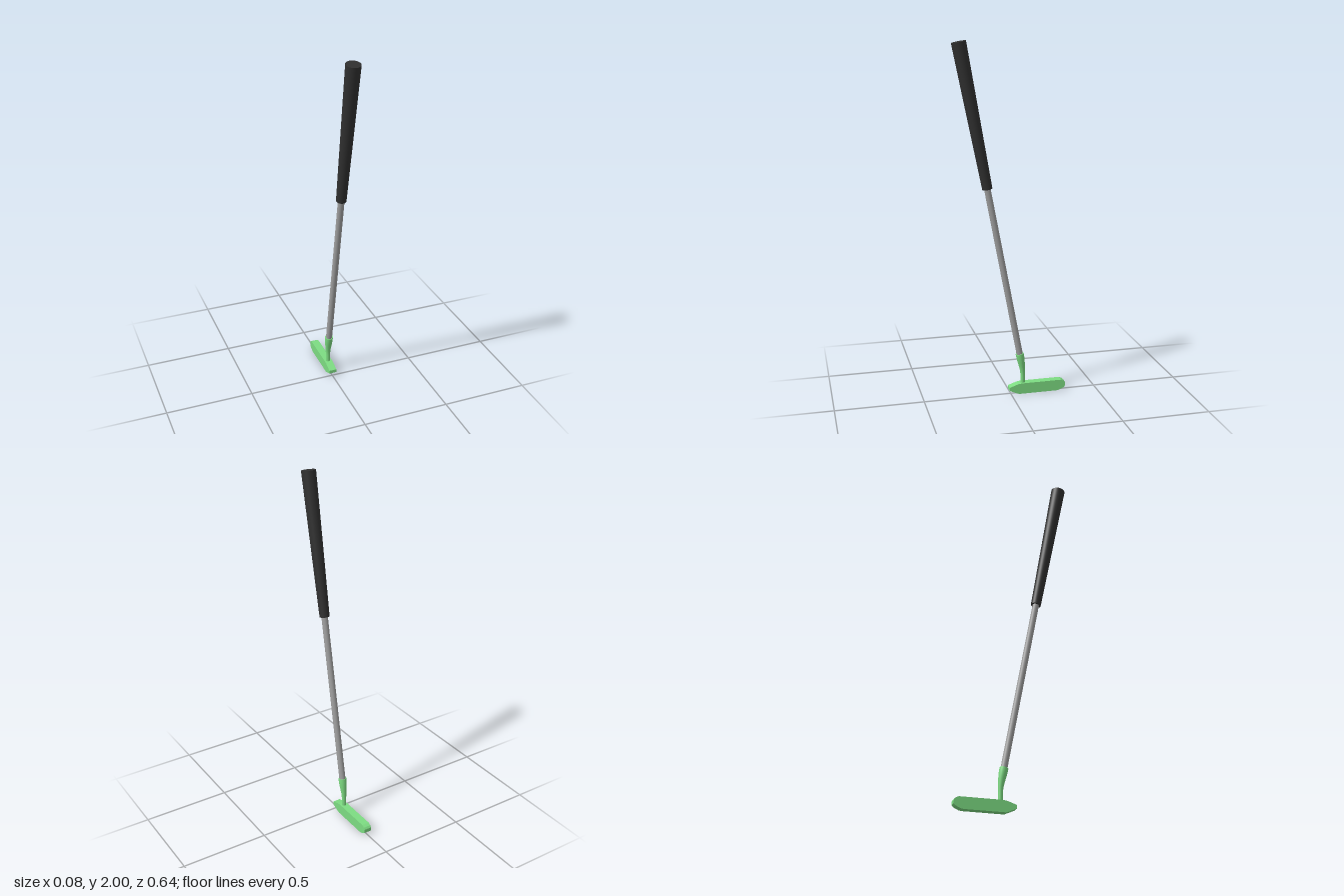
import * as THREE from 'three';

const V = (y, z) => new THREE.Vector3(0, y, z);

// Tapered round rod between two points
function rod(name, a, b, ra, rb, material) {
  const dir = b.clone().sub(a);
  const mesh = new THREE.Mesh(new THREE.CylinderGeometry(rb, ra, dir.length(), 32), material);
  mesh.position.copy(a).add(b).multiplyScalar(0.5);
  mesh.quaternion.setFromUnitVectors(new THREE.Vector3(0, 1, 0), dir.normalize());
  mesh.name = name;
  return mesh;
}

// Round tube along a curve in the x = 0 plane, radius varying with t
function taperedTube(curve, radiusAt, rings, sides) {
  const geometry = new THREE.TubeGeometry(curve, rings, 1, sides);
  const pos = geometry.attributes.position;
  const p = new THREE.Vector3();
  for (let i = 0; i <= rings; i++) {
    const center = curve.getPointAt(i / rings);
    for (let j = 0; j <= sides; j++) {
      const k = i * (sides + 1) + j;
      p.fromBufferAttribute(pos, k).sub(center).multiplyScalar(radiusAt(i / rings)).add(center);
      pos.setXYZ(k, p.x, p.y, p.z);
    }
  }
  geometry.computeVertexNormals();
  return geometry;
}

export function createModel() {
  const group = new THREE.Group();
  const green = new THREE.MeshStandardMaterial({ color: 0x7ddc82 });
  const grey = new THREE.MeshStandardMaterial({ color: 0xa0a0a0 });
  const black = new THREE.MeshStandardMaterial({ color: 0x303030 });

  // Points along the leaning shaft
  const bottom = V(0.237, -0.053), top = V(1.992, 0.279);
  const gripStart = bottom.clone().lerp(top, 0.551);
  const axis = top.clone().sub(bottom).normalize();

  group.add(rod('grip', gripStart, top, 0.028, 0.04, black));
  group.add(rod('shaft', bottom.clone().addScaledVector(axis, -0.03), gripStart.clone().addScaledVector(axis, 0.01), 0.018, 0.018, grey));

  // Neck: upright at the head, bending into the shaft and flaring to a socket
  const neckCurve = new THREE.CatmullRomCurve3([
    V(0.05, -0.071), V(0.09, -0.071), V(0.13, -0.07), V(0.17, -0.065), bottom,
  ]);
  const neckRadius = (t) => 0.013 + 0.01 * THREE.MathUtils.smoothstep(t, 0.3, 0.95);
  const neck = new THREE.Mesh(taperedTube(neckCurve, neckRadius, 20, 28), green);
  neck.name = 'neck';
  group.add(neck);
  group.add(rod('neckRim', bottom.clone().addScaledVector(axis, -0.004), bottom.clone().addScaledVector(axis, 0.001), 0.023, 0.023, green));

  // Head: side outline (along -z, up y) extruded across x
  const outline = [
    [-0.01, 0.024], [0.04, 0.002], [0.05, 0], [0.27, 0], [0.285, 0.003], [0.312, 0.016], [0.32, 0.026],
    [0.32, 0.045], [0.312, 0.055], [0.295, 0.063], [0.06, 0.063], [0.04, 0.06], [-0.01, 0.043],
  ];
  const shape = new THREE.Shape(outline.map(([u, y]) => new THREE.Vector2(u, y)));
  const width = 0.044;
  const headGeometry = new THREE.ExtrudeGeometry(shape, { depth: width, bevelEnabled: false });
  headGeometry.translate(0, 0, -width / 2);
  headGeometry.rotateY(Math.PI / 2);
  const head = new THREE.Mesh(headGeometry, green);
  head.name = 'head';
  group.add(head);

  return group;
}
